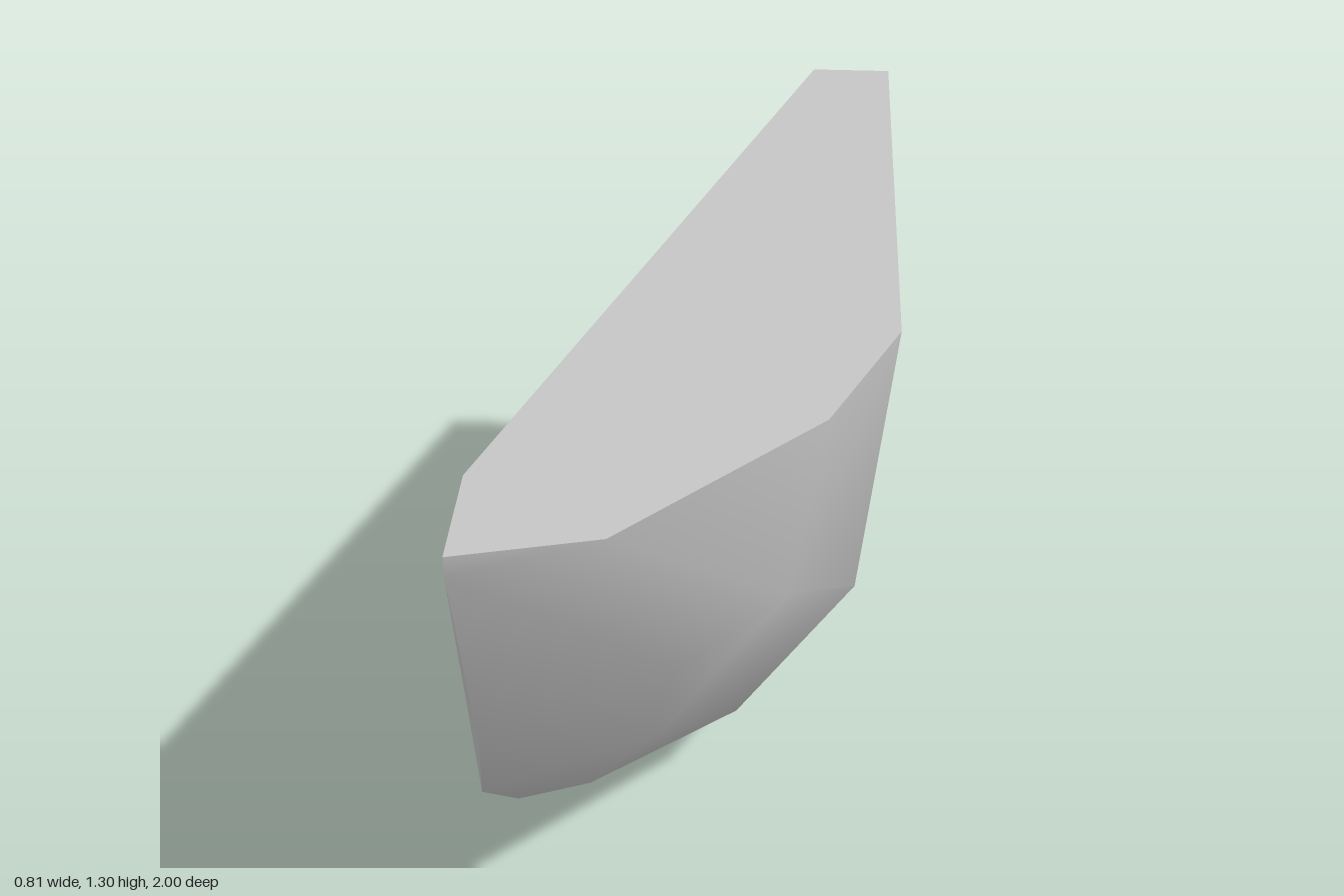
import * as THREE from 'three';
import { toCreasedNormals } from 'three/addons/utils/BufferGeometryUtils.js';
import { ConvexGeometry } from 'three/addons/geometries/ConvexGeometry.js';

export function createModel() {
  const group = new THREE.Group();
  group.name = 'rockChunk';
  const stone = new THREE.MeshStandardMaterial({ color: 0xc6c6c6 });
  stone.name = 'stone grey';

  // Corners of the chunk, ring by ring
  const corners = [
    // nearly flat top
    [0.225, 1.283, -1], [0.405, 1.283, -1], [0.405, 1.297, 0.25],
    [0.265, 1.298, 0.57], [-0.11, 1.287, 0.94], [-0.38, 1.283, 1], [-0.38, 1.283, 0.76],
    // rounded front and side
    [-0.38, 1.24, 1], [-0.01, 0.885, 0.8], [0.2, 0.93, 0.62],
    [-0.38, 0.7, 0.82], [-0.05, 0.58, 0.64], [-0.405, 0.46, 0.7], [-0.2, 0.373, 0.57],
    [0.345, 0.59, 0.15], [0.345, 0.225, -0.7], [0.345, 0.2, -1],
    // slanted base
    [-0.08, 0, -1], [-0.35, 0.03, -0.51], [-0.38, 0.175, 0.42],
    [0.09, 0.2, 0.13], [0.23, 0.215, -0.11], [0.32, 0.125, -1],
  ].map((p) => new THREE.Vector3(...p));

  // Soft front, sharp cut faces
  const geometry = toCreasedNormals(new ConvexGeometry(corners), THREE.MathUtils.degToRad(33));
  const rock = new THREE.Mesh(geometry, stone);
  rock.name = 'rock';
  group.add(rock);
  return group;
}
